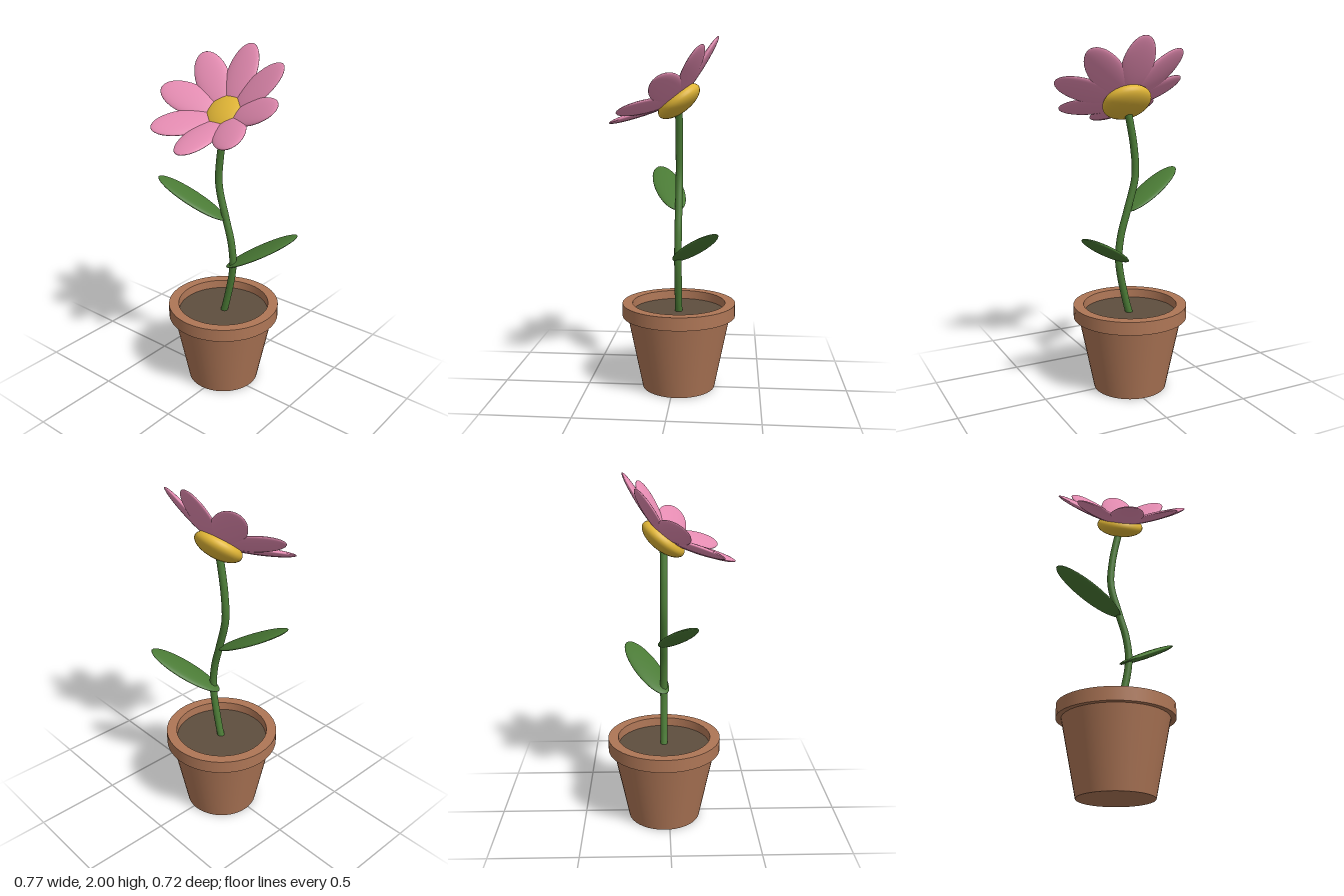
import * as THREE from 'three';
import { mergeGeometries } from 'three/addons/utils/BufferGeometryUtils.js';

const mat = (name, color, side = THREE.FrontSide) => {
  const m = new THREE.MeshStandardMaterial({ color, side });
  m.name = name;
  return m;
};

const mesh = (name, geometry, material) => {
  const m = new THREE.Mesh(geometry, material);
  m.name = name;
  return m;
};

// Lathe with hard edges: each profile segment gets its own strip
function hardLathe(profile, sides) {
  const strips = [];
  for (let i = 0; i < profile.length - 1; i++) {
    const pts = [profile[i], profile[i + 1]].map(([r, y]) => new THREE.Vector2(r, y));
    strips.push(new THREE.LatheGeometry(pts, sides));
  }
  return mergeGeometries(strips);
}

// Smooth flattened ball with the given half sizes
const ellipsoid = (x, y, z) => new THREE.SphereGeometry(1, 32, 20).scale(x, y, z);

export function createModel() {
  const terracotta = mat('terracotta', 0xae7656);
  const earth = mat('earth', 0x5e4e3e);
  const green = mat('leaf green', 0x4a7a35);
  const pink = mat('petal pink', 0xe48bb1);
  const yellow = mat('pollen yellow', 0xe0b536);

  const model = new THREE.Group();
  model.name = 'pottedFlower';

  // Pot with overhanging rim, and the soil inside
  const pot = new THREE.Group();
  pot.name = 'pot';
  pot.position.set(-0.021, 0, -0.029);
  pot.add(mesh('potShell', hardLathe([
    [0, 0], [0.21, 0], [0.296, 0.425], [0.326, 0.425],
    [0.326, 0.5], [0.268, 0.5], [0.264, 0.43],
  ], 40), terracotta));
  const soil = mesh('soil', new THREE.CylinderGeometry(0.266, 0.264, 0.02, 40), earth);
  soil.position.y = 0.44;
  pot.add(soil);
  model.add(pot);

  // Winding stem
  const path = new THREE.CatmullRomCurve3([
    [-0.02, 0.43], [0.005, 0.52], [0.05, 0.76], [0.036, 0.91], [-0.004, 1.05],
    [-0.053, 1.24], [-0.045, 1.4], [-0.02, 1.54], [0, 1.63],
  ].map(([x, y]) => new THREE.Vector3(x, y, -0.029)));
  model.add(mesh('stem', new THREE.TubeGeometry(path, 64, 0.021, 16), green));

  // Two leaves rising from the stem
  const leaves = [
    ['lowerLeaf', [0.178, 0.857, -0.13], 33],
    ['upperLeaf', [-0.193, 1.148, 0.043], 200],
  ];
  for (const [name, position, turn] of leaves) {
    const leaf = mesh(name, ellipsoid(0.23, 0.02, 0.086), green);
    leaf.position.set(...position);
    leaf.rotation.set(0, THREE.MathUtils.degToRad(turn), THREE.MathUtils.degToRad(28), 'YXZ');
    model.add(leaf);
  }

  // Flower head, tipped toward the front
  const flower = new THREE.Group();
  flower.name = 'flower';
  flower.position.set(0, 1.65, -0.03);
  flower.rotation.x = THREE.MathUtils.degToRad(37.7);
  flower.add(mesh('flowerCentre', ellipsoid(0.138, 0.064, 0.138), yellow));

  // Ring of eight cupped petals
  const petalShape = ellipsoid(0.178, 0.02, 0.096).translate(0.235, 0, 0);
  for (let i = 0; i < 8; i++) {
    const petal = mesh('petal', petalShape, pink);
    petal.rotation.set(0, i * Math.PI / 4, THREE.MathUtils.degToRad(20.5), 'YXZ');
    flower.add(petal);
  }
  model.add(flower);

  return model;
}
